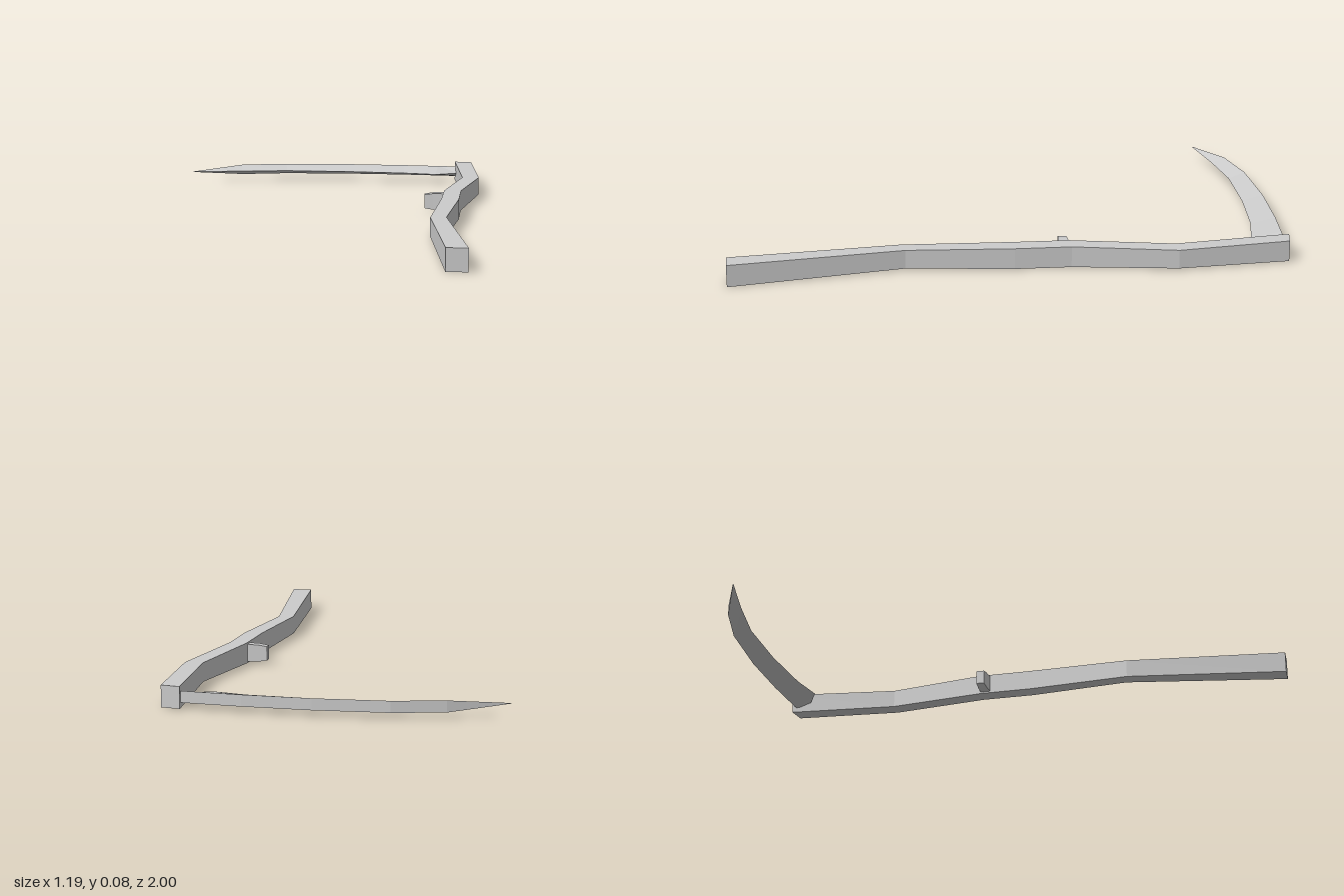
import * as THREE from 'three';

const material = new THREE.MeshStandardMaterial({ color: 0xcccccc, flatShading: true });

// Skins a list of rings (each counter-clockwise seen from the start end) and caps both ends.
function loft(name, rings) {
  const n = rings[0].length;
  const index = [];
  for (let s = 0; s < rings.length - 1; s++) {
    for (let i = 0; i < n; i++) {
      const a = s * n + i, b = s * n + (i + 1) % n;
      index.push(b, a, a + n, b, a + n, b + n);
    }
  }
  const last = (rings.length - 1) * n;
  for (let i = 1; i < n - 1; i++) {
    index.push(0, i, i + 1, last, last + i + 1, last + i);
  }
  const indexed = new THREE.BufferGeometry();
  indexed.setAttribute('position', new THREE.Float32BufferAttribute(rings.flat(2), 3));
  indexed.setIndex(index);
  const geometry = indexed.toNonIndexed();
  geometry.computeVertexNormals();
  const mesh = new THREE.Mesh(geometry, material);
  mesh.name = name;
  return mesh;
}

export function createModel() {
  const group = new THREE.Group();
  group.name = 'scythe';
  const midY = 0.04;

  // Crooked square pole: left x, left z, right x, right z, half height
  const pole = [
    [0.49, 1, 0.565, 1, 0.04],
    [0.424, 0.39, 0.481, 0.38, 0.034],
    [0.455, 0, 0.52, 0, 0.038],
    [0.461, -0.2, 0.525, -0.2, 0.038],
    [0.526, -0.57, 0.591, -0.57, 0.034],
    [0.49, -0.985, 0.558, -0.972, 0.038],
  ];
  group.add(loft('pole', pole.map(([lx, lz, rx, rz, h]) => [
    [lx, midY - h, lz], [rx, midY - h, rz], [rx, midY + h, rz], [lx, midY + h, lz],
  ])));

  // Short hand grip: x, front z, back z, half height
  const grip = [
    [0.48, -0.158, -0.2, 0.032],
    [0.42, -0.166, -0.2, 0.031],
    [0.387, -0.17, -0.2, 0.026],
  ];
  group.add(loft('handGrip', grip.map(([x, f, b, h]) => [
    [x, midY - h, f], [x, midY - h, b], [x, midY + h, b], [x, midY + h, f],
  ])));

  // Wedge-section blade: edge x, edge z, spine x, spine z, half spine thickness
  const blade = [
    [0.505, -0.915, 0.505, -0.967, 0.02],
    [0.412, -0.867, 0.42, -0.976, 0.02],
    [0.28, -0.897, 0.28, -0.989, 0.02],
    [0.04, -0.921, 0.04, -1, 0.02],
    [-0.21, -0.926, -0.22, -0.99, 0.02],
    [-0.4, -0.9, -0.4, -0.95, 0.02],
    [-0.597, -0.863, -0.599, -0.864, 0.001],
  ];
  group.add(loft('blade', blade.map(([ex, ez, sx, sz, h]) => [
    [ex, midY, ez], [sx, midY - h, sz], [sx, midY + h, sz],
  ])));

  return group;
}
